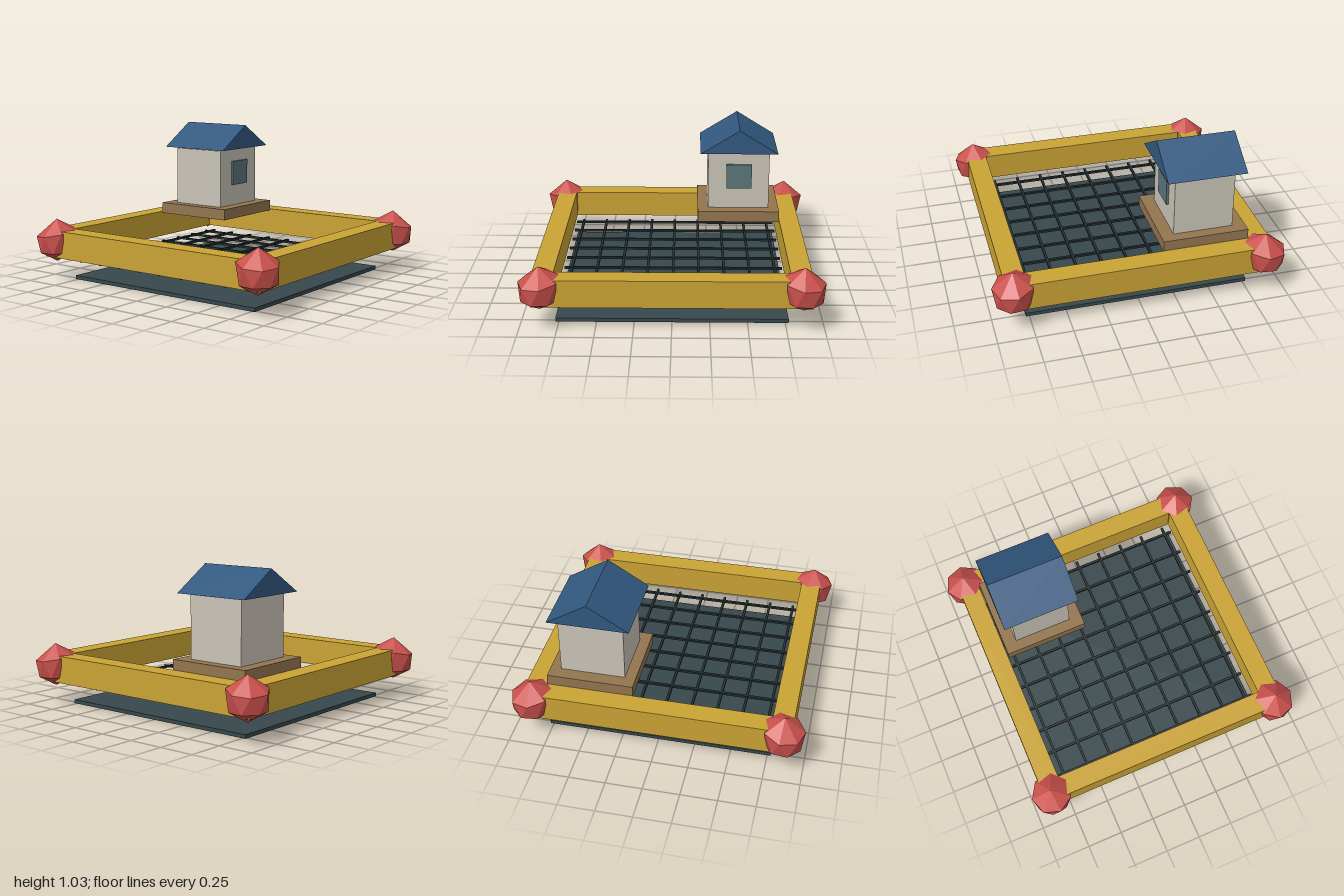
import * as THREE from 'three';

const material = (name, color) => Object.assign(new THREE.MeshStandardMaterial({ color, flatShading: true }), { name });

export function createModel() {
  const group = new THREE.Group();
  const yellow = material('yellow beam', 0xcaa335);
  const red = material('red knob', 0xc9504c);
  const slate = material('dark slate', 0x36474c);
  const iron = material('dark iron', 0x232d30);
  const brown = material('brown wood', 0x93754f);
  const stone = material('pale stone', 0xc9c4b8);
  const blue = material('blue roof', 0x32587f);
  const glass = material('window glass', 0x5b7579);

  const add = (name, geometry, mat, x = 0, y = 0, z = 0, parent = group) => {
    const mesh = new THREE.Mesh(geometry, mat);
    mesh.name = name;
    mesh.position.set(x, y, z);
    parent.add(mesh);
    return mesh;
  };
  // box given by its size and centre
  const box = (name, w, h, d, mat, x, y, z, parent) =>
    add(name, new THREE.BoxGeometry(w, h, d), mat, x, y, z, parent);

  // floor plate
  box('floorPlate', 1.546, 0.026, 1.546, slate, 0, 0.013, 0);

  // grid of bars above the floor
  const grid = new THREE.Group();
  grid.name = 'barGrid';
  group.add(grid);
  for (let i = -4; i <= 4; i++) {
    box('crossBar', 1.546, 0.016, 0.018, iron, 0, 0.132, i * 0.18, grid);
    box('lengthBar', 0.018, 0.016, 1.546, iron, i * 0.18, 0.128, 0, grid);
  }

  // faceted knob: two seven-sided rings, half a step apart, between two tips
  const ring = (y, radius, twist, lean) => Array.from({ length: 7 }, (_, i) => {
    const a = Math.PI * 1.25 + twist - (i * Math.PI * 2) / 7;
    const x = Math.cos(a) * radius, z = Math.sin(a) * radius;
    return [x, y + lean * (x + z), z];
  });
  const upper = ring(0.052, 0.14, 0, 0.12);
  const lower = ring(-0.08, 0.125, -Math.PI / 7, 0);
  const corners = [];
  for (let i = 0; i < 7; i++) {
    const j = (i + 1) % 7;
    corners.push([0, 0.15, 0], upper[i], upper[j]);
    corners.push(upper[i], lower[i], upper[j]);
    corners.push(upper[j], lower[i], lower[j]);
    corners.push([0, -0.15, 0], lower[j], lower[i]);
  }
  const knob = new THREE.BufferGeometry();
  knob.setAttribute('position', new THREE.Float32BufferAttribute(corners.flat(), 3));
  knob.computeVertexNormals();

  // four beams with a knob at each corner
  for (let k = 0; k < 4; k++) {
    const side = new THREE.Group();
    side.name = 'frameSide';
    side.rotation.y = (k * Math.PI) / 2;
    group.add(side);
    box('beam', 1.688, 0.19, 0.142, yellow, -0.071, 0.265, -0.844, side);
    add('cornerKnob', knob, red, -0.86, 0.285, -0.86, side);
  }

  // little house on a plinth in the back left corner
  const house = new THREE.Group();
  house.name = 'house';
  house.position.set(0.473, 0, -0.47);
  group.add(house);
  box('plinth', 0.595, 0.08, 0.595, brown, 0, 0.39, 0, house);
  box('walls', 0.446, 0.422, 0.416, stone, 0, 0.641, 0, house);
  box('window', 0.184, 0.18, 0.016, glass, 0.003, 0.675, 0.216, house);

  // gable roof with its ridge running front to back
  const gable = new THREE.Shape();
  gable.moveTo(-0.28, 0);
  gable.lineTo(0.28, 0);
  gable.lineTo(0, 0.173);
  gable.closePath();
  const roof = new THREE.ExtrudeGeometry(gable, { depth: 0.546, bevelEnabled: false });
  add('roof', roof, blue, 0, 0.862, -0.273, house);

  return group;
}
